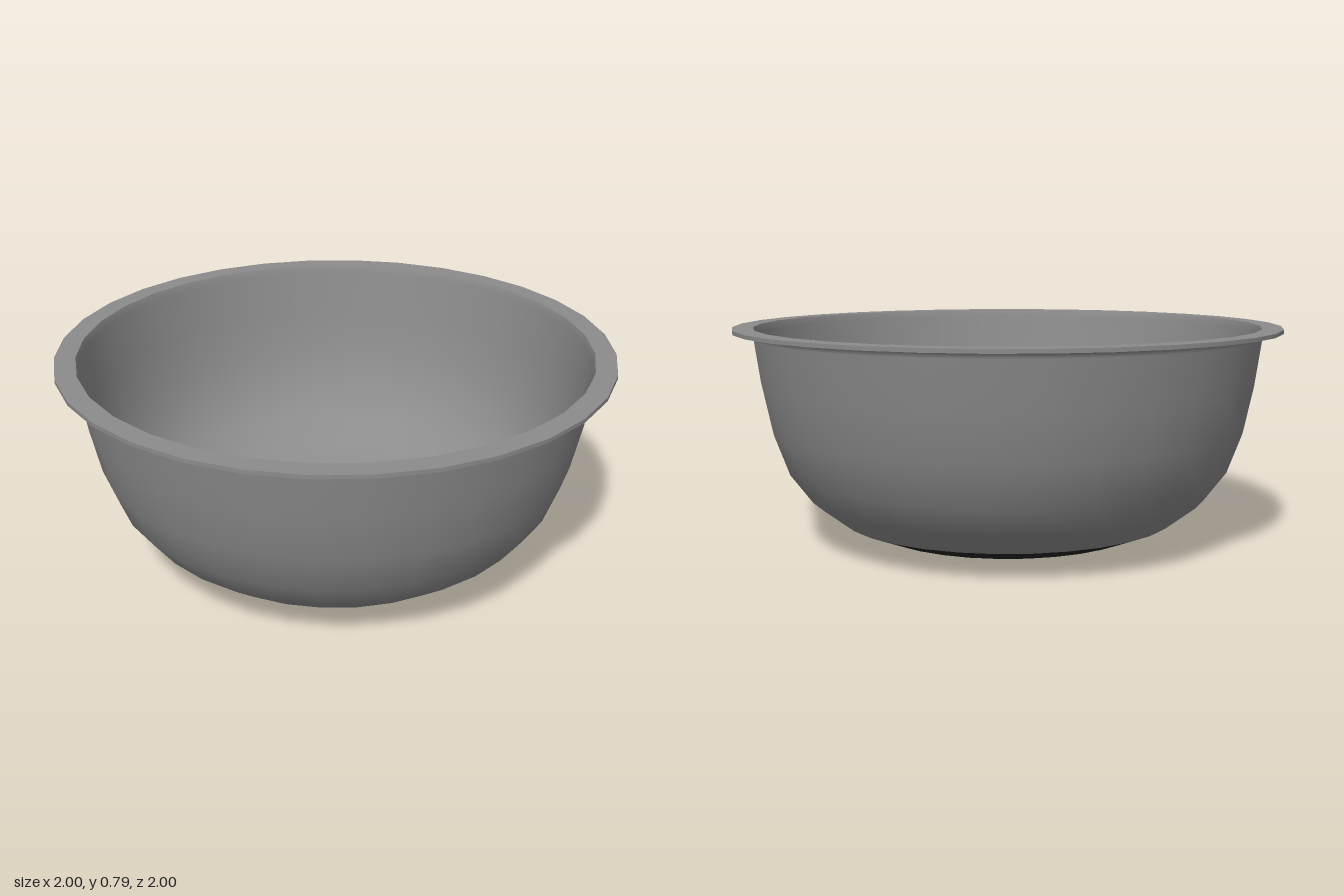
import * as THREE from 'three';

const SEGMENTS = 32;

export function createModel() {
  const bowl = new THREE.Group();
  bowl.name = 'bowl';

  const metal = new THREE.MeshStandardMaterial({ color: 0x8c8c8c });
  metal.name = 'brushed grey metal';
  const rubber = new THREE.MeshStandardMaterial({ color: 0x262626 });
  rubber.name = 'black rubber';

  // Each turned surface is its own lathe, so edges between them stay sharp
  function turned(name, material, profile) {
    const points = profile.map(([r, y]) => new THREE.Vector2(r, y));
    const mesh = new THREE.Mesh(new THREE.LatheGeometry(points, SEGMENTS), material);
    mesh.name = name;
    bowl.add(mesh);
  }

  // Dark non-slip underside
  turned('base', rubber, [[0, 0], [0.17, 0.001], [0.33, 0.006], [0.5, 0.033], [0.625, 0.083]]);

  // Outside wall, flaring into the underside of the rim
  turned('outerWall', metal, [
    [0.625, 0.083], [0.735, 0.168], [0.815, 0.275], [0.868, 0.42],
    [0.903, 0.59], [0.926, 0.755], [0.93, 0.77], [0.943, 0.778],
  ]);

  // Flat rim
  turned('rimUnderside', metal, [[0.943, 0.778], [1, 0.778]]);
  turned('rimEdge', metal, [[1, 0.778], [1, 0.792]]);
  turned('rimTop', metal, [[1, 0.792], [0.925, 0.792]]);

  // Inside wall and floor
  turned('innerWall', metal, [
    [0.925, 0.792], [0.916, 0.765], [0.891, 0.59], [0.856, 0.425], [0.804, 0.284],
    [0.726, 0.18], [0.618, 0.096], [0.495, 0.047], [0.33, 0.02], [0.17, 0.015], [0, 0.014],
  ]);

  return bowl;
}
